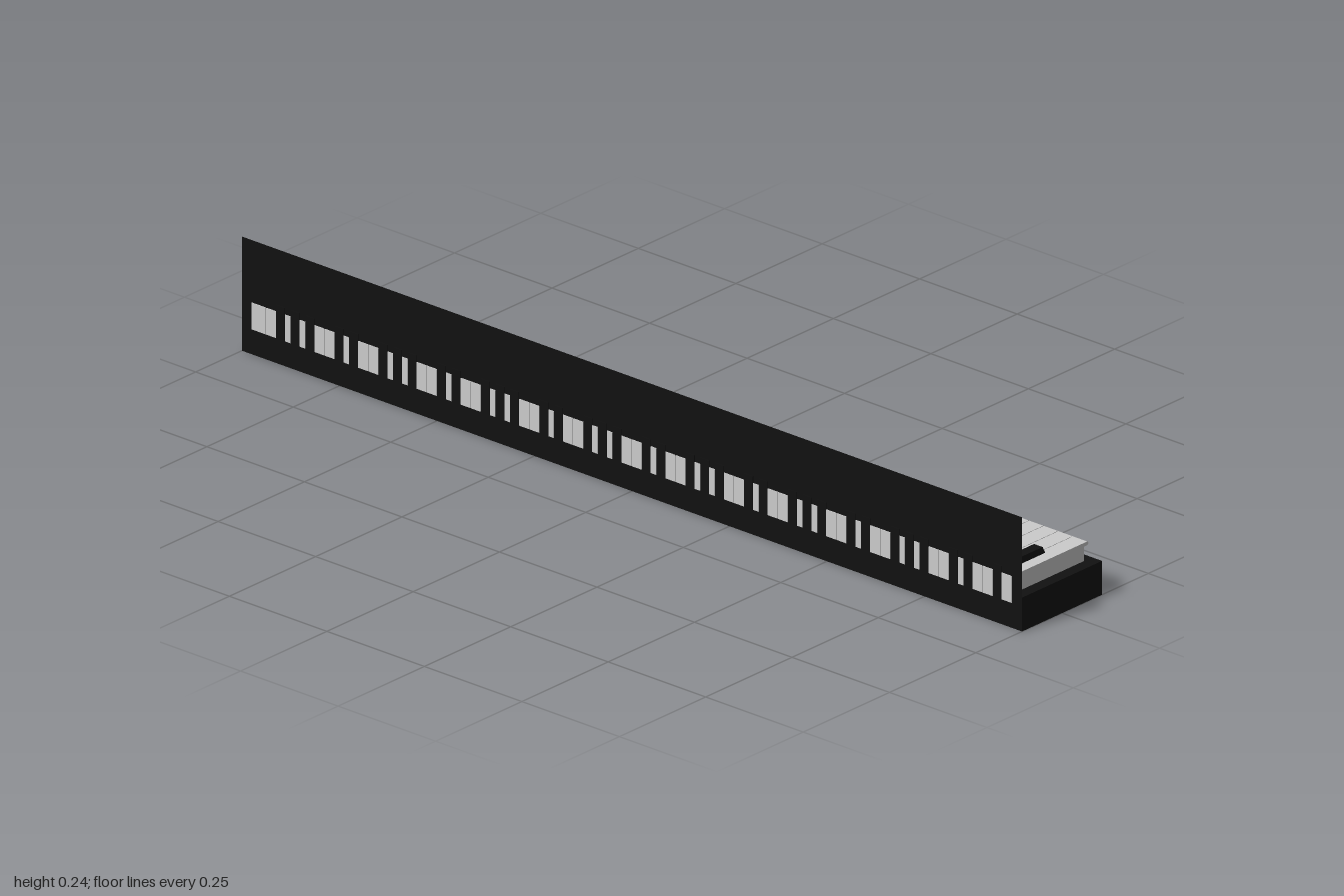
import * as THREE from 'three';

const black = new THREE.MeshStandardMaterial({ color: 0x111111 });
const blackThin = new THREE.MeshStandardMaterial({ color: 0x111111, side: THREE.DoubleSide });
const grey = new THREE.MeshStandardMaterial({ color: 0xcccccc });

const WHITES = 52, PITCH = 0.0375, GAP = 0.0012;
const START = WHITES * PITCH / 2;            // bass end of the keyboard, at +z
const BACK = -0.1175, KEY_BOTTOM = 0.053, KEY_TOP = 0.109;
const SHARP_FRONT = 0.009, SHARP_WIDTH = 0.022, CUT = 0.0118;

// a sharp follows every white key except B and E (key 0 is A)
const hasSharp = i => i >= 0 && i < WHITES - 1 && ![1, 4].includes(i % 7);

function add(parent, name, geometry, material) {
  const mesh = new THREE.Mesh(geometry, material);
  mesh.name = name;
  parent.add(mesh);
  return mesh;
}

// side profile in x and y, extruded over a width centred on z = 0
function sideExtrude(shape, width) {
  return new THREE.ExtrudeGeometry(shape, { depth: width, bevelEnabled: false, curveSegments: 8 })
    .translate(0, 0, -width / 2);
}

// plan outline of a white key, notched on the sides that meet a sharp
function whiteBody(cutBass, cutTreble) {
  const h = (PITCH - GAP) / 2, inner = PITCH / 2 - CUT, front = 0.093, notch = SHARP_FRONT + 0.001;
  const pts = [[BACK, cutBass ? -inner : -h]];
  if (cutBass) pts.push([notch, -inner], [notch, -h]);
  pts.push([front, -h], [front, h]);
  if (cutTreble) pts.push([notch, h], [notch, inner]);
  pts.push([BACK, cutTreble ? inner : h]);
  const shape = new THREE.Shape(pts.map(p => new THREE.Vector2(...p)));
  return new THREE.ExtrudeGeometry(shape, { depth: KEY_TOP - KEY_BOTTOM, bevelEnabled: false })
    .rotateX(-Math.PI / 2).translate(0, KEY_BOTTOM, 0);
}

// rounded lip overhanging the front of a white key
function lipGeometry() {
  const r = 0.004, s = new THREE.Shape();
  s.moveTo(0.093, KEY_TOP - 2 * r);
  s.lineTo(0.101, KEY_TOP - 2 * r);
  s.absarc(0.101, KEY_TOP - r, r, -Math.PI / 2, Math.PI / 2, false);
  s.lineTo(0.093, KEY_TOP);
  return sideExtrude(s, PITCH - GAP);
}

// raised key with a sloping front
function sharpGeometry() {
  const pts = [[BACK, KEY_BOTTOM], [SHARP_FRONT, KEY_BOTTOM], [SHARP_FRONT, 0.11],
    [0.002, 0.123], [BACK, 0.123]];
  return sideExtrude(new THREE.Shape(pts.map(p => new THREE.Vector2(...p))), SHARP_WIDTH);
}

export function createModel() {
  const model = new THREE.Group();
  model.name = 'pianoKeyboard';

  // key bed and thin upright panel behind the keys
  add(model, 'keyBed', new THREE.BoxGeometry(0.232, 0.071, 2), black).position.y = 0.0355;
  const panel = add(model, 'backPanel', new THREE.PlaneGeometry(2, 0.17), blackThin);
  panel.rotation.y = Math.PI / 2;
  panel.position.set(-0.116, 0.155, 0);

  const whiteKeys = new THREE.Group(), blackKeys = new THREE.Group();
  whiteKeys.name = 'whiteKeys';
  blackKeys.name = 'blackKeys';
  model.add(whiteKeys, blackKeys);

  const lip = lipGeometry(), sharp = sharpGeometry();
  for (let i = 0; i < WHITES; i++) {
    const key = new THREE.Group();
    key.name = 'whiteKey';
    key.position.z = START - (i + 0.5) * PITCH;
    add(key, 'keyBody', whiteBody(hasSharp(i - 1), hasSharp(i)), grey);
    add(key, 'keyLip', lip, grey);
    whiteKeys.add(key);
    if (hasSharp(i)) add(blackKeys, 'blackKey', sharp, black).position.z = START - (i + 1) * PITCH;
  }
  return model;
}
